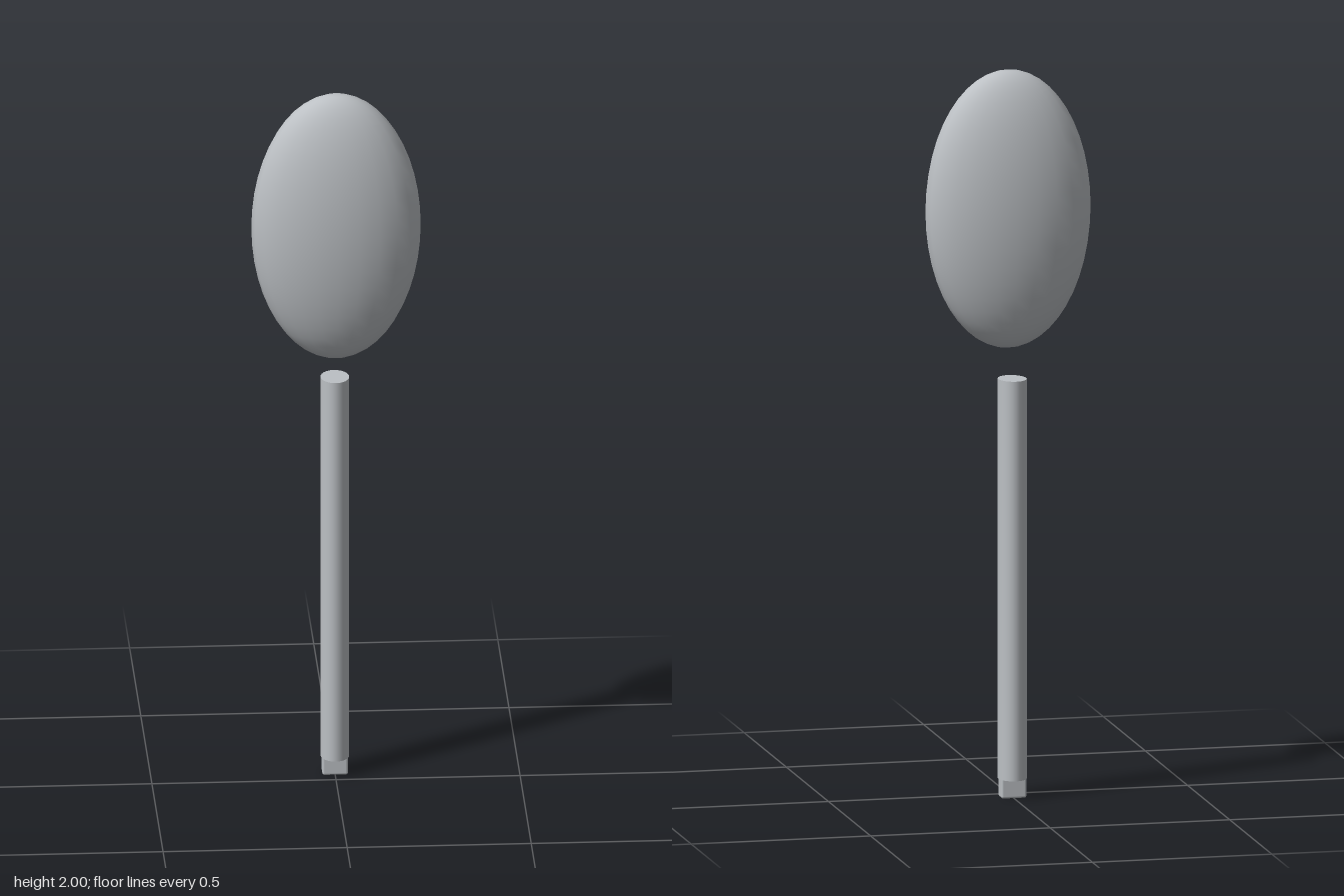
import * as THREE from 'three';
import { RoundedBoxGeometry } from 'three/addons/geometries/RoundedBoxGeometry.js';

export function createModel() {
  const group = new THREE.Group();
  const grey = new THREE.MeshStandardMaterial({ color: 0xbcc0c4 });
  grey.name = 'light grey';

  const add = (name, geometry, x, y, z) => {
    const mesh = new THREE.Mesh(geometry, grey);
    mesh.name = name;
    mesh.position.set(x, y, z);
    group.add(mesh);
  };

  // Flattened oval head, floating above the handle
  const head = new THREE.SphereGeometry(1, 24, 24);
  head.scale(0.23, 0.384, 0.115);
  add('head', head, 0, 1.616, 0);

  // Handle with an oval section, set slightly behind the head
  const handle = new THREE.CylinderGeometry(1, 1, 1.104, 24);
  handle.scale(0.039, 1, 0.049);
  add('handle', handle, 0, 0.604, -0.05);

  // Small softened tab under the handle
  add('endTab', new RoundedBoxGeometry(0.07, 0.08, 0.042, 2, 0.006), 0, 0.04, -0.053);

  return group;
}
